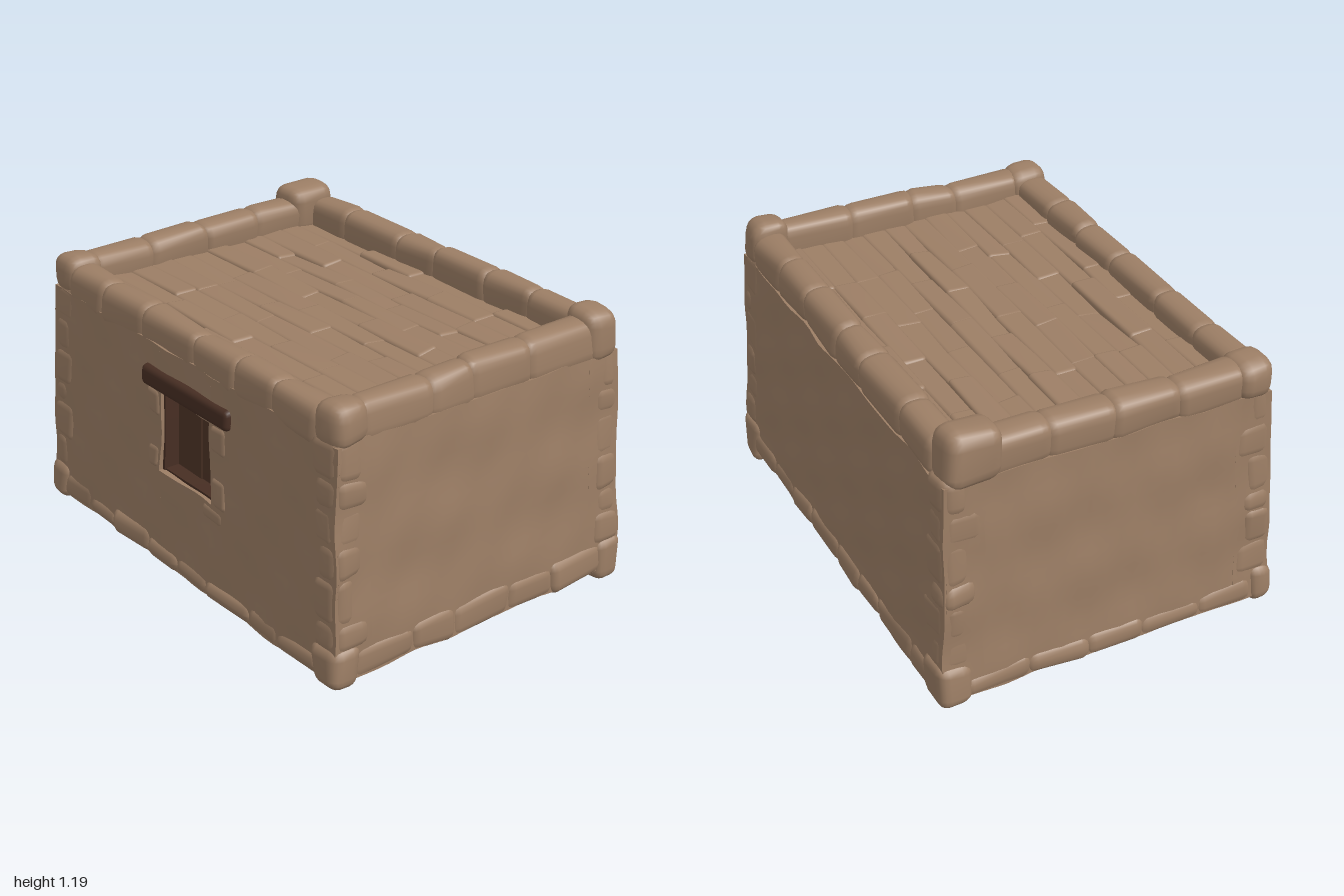
import * as THREE from 'three';
import { mergeVertices } from 'three/addons/utils/BufferGeometryUtils.js';
import { RoundedBoxGeometry } from 'three/addons/geometries/RoundedBoxGeometry.js';

export function createModel() {
  const house = new THREE.Group();
  house.name = 'mudBrickHouse';

  const material = (name, color) => {
    const m = new THREE.MeshStandardMaterial({ color });
    m.name = name;
    return m;
  };
  const clay = material('clay', 0x9c7e65);
  const wood = material('shutterWood', 0x4e3427);
  const darkWood = material('lintelWood', 0x472e23);

  // Repeatable random numbers
  let seed = 7;
  const rand = () => (seed = (seed * 16807) % 2147483647) / 2147483647;
  const vary = (amount) => (rand() - 0.5) * 2 * amount;

  // Uneven, hand-made surface plus walls that lean inwards with height
  const bump = (a, b, c) => Math.sin(a * 13 + b * 7) * Math.sin(b * 17 - c * 9 + 1) + 0.6 * Math.sin(c * 23 + a * 19);
  function weather(geo, amount) {
    const p = geo.attributes.position;
    for (let i = 0; i < p.count; i++) {
      const x = p.getX(i), y = p.getY(i), z = p.getZ(i);
      const nx = x + amount * bump(y, z, x);
      const ny = y + amount * bump(z, x, y);
      const nz = z + amount * bump(x, y, z);
      p.setXYZ(i, nx * (1 - 0.045 * ny), ny, nz * (1 - 0.055 * ny));
    }
    geo.computeVertexNormals();
    return geo;
  }

  function add(parent, name, geo, mat) {
    const mesh = new THREE.Mesh(geo, mat);
    mesh.name = name;
    parent.add(mesh);
  }
  function group(name) {
    const g = new THREE.Group();
    g.name = name;
    house.add(g);
    return g;
  }

  // Subdivided block given by its limits
  function panel(parent, name, x0, x1, y0, y1, z0, z1, mat = clay, amount = 0.005) {
    const w = x1 - x0, h = y1 - y0, d = z1 - z0;
    const n = (s) => Math.max(1, Math.round(s / 0.06));
    const geo = new THREE.BoxGeometry(w, h, d, n(w), n(h), n(d));
    geo.translate((x0 + x1) / 2, (y0 + y1) / 2, (z0 + z1) / 2);
    add(parent, name, weather(geo, amount), mat);
  }

  // Soft-edged stone, slightly turned
  function stone(parent, name, w, h, d, x, y, z, radius = 0.035, mat = clay, turn = 0.03) {
    let geo = new RoundedBoxGeometry(w, h, d, 2, Math.min(radius, w / 2.2, h / 2.2, d / 2.2));
    geo.deleteAttribute('normal');
    geo.deleteAttribute('uv');
    geo = mergeVertices(geo);
    geo.rotateZ(vary(turn));
    geo.rotateY(vary(turn));
    geo.translate(x, y, z);
    add(parent, name, weather(geo, 0.006), mat);
  }

  // Uneven cuts from a to b
  function cuts(a, b, n) {
    const step = (b - a) / n;
    return Array.from({ length: n + 1 }, (_, i) => a + step * i + (i > 0 && i < n ? vary(step * 0.2) : 0));
  }

  const X = 0.975, Z = 0.714, T = 0.165, BASE = 0.045, TOP = 0.975;
  const win = { x0: -0.15, x1: 0.195, y0: 0.45, y1: 0.785 };

  // Hollow walls, the front one built around the window
  const walls = group('walls');
  panel(walls, 'backWall', -X, X, BASE, TOP, -Z, -Z + T);
  for (const s of [-1, 1]) {
    const a = s * X, b = s * (X - T);
    panel(walls, s > 0 ? 'leftWall' : 'rightWall', Math.min(a, b), Math.max(a, b), BASE, TOP, -Z + 0.01, Z - 0.01);
  }
  panel(walls, 'frontWallRight', -X, win.x0, BASE, TOP, Z - T, Z);
  panel(walls, 'frontWallLeft', win.x1, X, BASE, TOP, Z - T, Z);
  panel(walls, 'frontWallBelow', win.x0, win.x1, BASE, win.y0, Z - T, Z);
  panel(walls, 'frontWallAbove', win.x0, win.x1, win.y1, TOP, Z - T, Z);

  // Stones along the foot of the walls and along the parapet
  const foot = group('footStones');
  const parapet = group('parapet');
  for (const s of [-1, 1]) {
    const alongX = cuts(-0.88, 0.88, 8), alongZ = cuts(-0.62, 0.62, 5);
    for (let i = 0; i < 8; i++) {
      const h = 0.115 + vary(0.025);
      stone(foot, 'footStone', alongX[i + 1] - alongX[i] + 0.03, h, 0.16, (alongX[i] + alongX[i + 1]) / 2,
        0.03 + h / 2, s * (0.645 + vary(0.006)), 0.045, clay, 0.03);
    }
    for (let i = 0; i < 5; i++) {
      const h = 0.125 + vary(0.03);
      stone(foot, 'footStone', 0.16, h, alongZ[i + 1] - alongZ[i] + 0.03, s * (0.905 + vary(0.006)),
        0.03 + h / 2, (alongZ[i] + alongZ[i + 1]) / 2, 0.045, clay, 0.03);
    }
    const topX = cuts(-0.85, 0.85, 6), topZ = cuts(-0.58, 0.58, 4);
    for (let i = 0; i < 6; i++)
      stone(parapet, 'parapetStone', topX[i + 1] - topX[i] + 0.05, 0.17, 0.143, (topX[i] + topX[i + 1]) / 2,
        (s > 0 ? 1.003 : 1.03) + vary(0.006), s * 0.645, 0.055, clay, 0.015);
    for (let i = 0; i < 4; i++)
      stone(parapet, 'parapetStone', 0.143, 0.17, topZ[i + 1] - topZ[i] + 0.05, s * 0.908,
        1.022 - topZ[i] * 0.02 + vary(0.006), (topZ[i] + topZ[i + 1]) / 2, 0.055, clay, 0.015);
  }

  // Corner stones, wide and narrow by turns, with a cap on each corner
  const corners = group('cornerStones');
  for (const sx of [-1, 1]) for (const sz of [-1, 1]) {
    const low = sx > 0 && sz < 0 ? 0.005 : 0.03;
    const levels = cuts(low, 0.99, 7);
    for (let i = 0; i < 7; i++) {
      const w = (i % 2 ? 0.13 : 0.16) + vary(0.02), d = (i % 2 ? 0.16 : 0.13) + vary(0.02);
      const out = i === 0 ? 0.993 : 0.981 + vary(0.004);
      stone(corners, 'cornerStone', w, levels[i + 1] - levels[i] + 0.03, d, sx * (out - w / 2),
        (levels[i] + levels[i + 1]) / 2, sz * (out - 0.261 - d / 2), 0.045, clay, 0.025);
    }
    const top = sz > 0 ? 1.115 : sx < 0 ? 1.17 : 1.15;
    const farRight = sx < 0 && sz < 0;
    stone(corners, 'cornerCap', 0.17, top - 0.95, farRight ? 0.24 : 0.18, sx * 0.91, (top + 0.95) / 2,
      farRight ? -0.585 : sz * 0.633, 0.06);
  }

  // Sunken flat roof of clay strips running side to side
  const roof = group('roof');
  panel(roof, 'roofSlab', -0.9, 0.9, 0.92, 0.972, -0.64, 0.64);
  const rows = 12, rowDepth = 1.2 / rows;
  for (let r = 0; r < rows; r++) {
    const z = -0.6 + rowDepth * (r + 0.5);
    const ends = cuts(-0.88, 0.88, 4 + (r % 2));
    for (let i = 0; i + 1 < ends.length; i++)
      stone(roof, 'roofStrip', ends[i + 1] - ends[i] + 0.03, 0.05, rowDepth + 0.018, (ends[i] + ends[i + 1]) / 2,
        0.98 + vary(0.007), z, 0.02, clay, 0.01);
  }

  // Window: two shutters in a dark frame, a log lintel and small stones around
  const windowGroup = group('window');
  const midX = 0.02;
  panel(windowGroup, 'shutterRight', win.x0, midX, win.y0, win.y1, 0.605, 0.635, wood, 0.001);
  panel(windowGroup, 'shutterLeft', midX, win.x1, win.y0, win.y1, 0.6, 0.63, wood, 0.001);
  panel(windowGroup, 'frameRight', win.x0 - 0.005, win.x0 + 0.01, win.y0, win.y1, 0.595, 0.7, darkWood, 0.001);
  panel(windowGroup, 'frameLeft', win.x1 - 0.014, win.x1 + 0.005, win.y0, win.y1, 0.595, 0.7, darkWood, 0.001);
  panel(windowGroup, 'frameTop', win.x0, win.x1, win.y1 - 0.01, win.y1 + 0.005, 0.595, 0.7, darkWood, 0.001);
  panel(windowGroup, 'frameBottom', win.x0, win.x1, win.y0 - 0.005, win.y0 + 0.008, 0.595, 0.695, darkWood, 0.001);
  stone(windowGroup, 'lintel', 0.585, 0.08, 0.1, 0.036, 0.828, 0.692, 0.022, darkWood, 0.004);
  for (const [x, y, w, h] of [[-0.205, 0.735, 0.1, 0.11], [0.25, 0.725, 0.1, 0.12], [-0.2, 0.5, 0.09, 0.1],
    [0.245, 0.51, 0.1, 0.12], [0.2, 0.41, 0.14, 0.07]])
    stone(windowGroup, 'windowStone', w, h, 0.06, x, y, 0.69, 0.025);

  return house;
}
